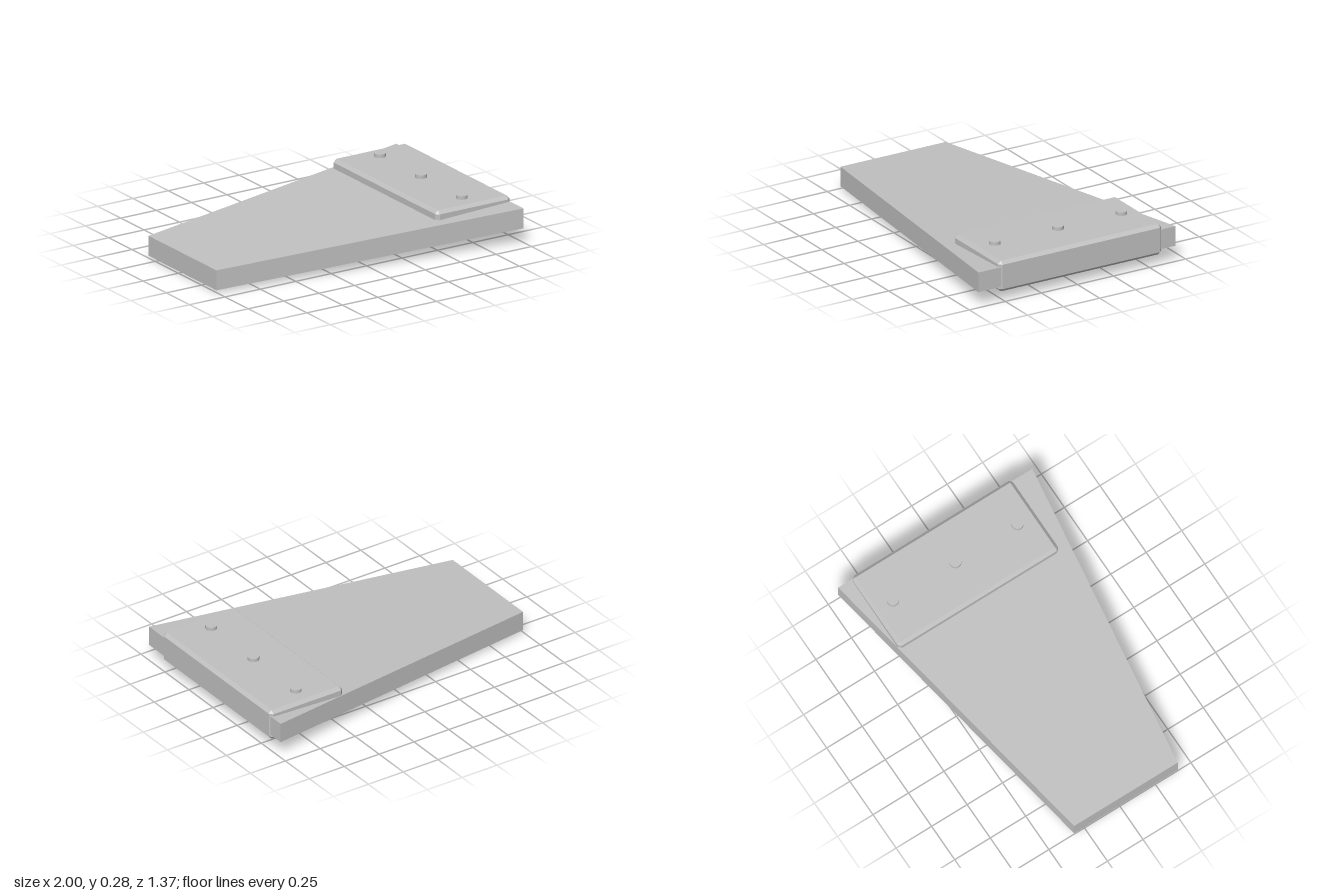
import * as THREE from 'three';
import { ConvexGeometry } from 'three/addons/geometries/ConvexGeometry.js';

// Box with every edge cut by a flat chamfer c, given by its min and max corners
function chamferedBox(min, max, c) {
  const centre = min.map((v, i) => (v + max[i]) / 2);
  const half = min.map((v, i) => (max[i] - v) / 2);
  const points = [];
  for (const sx of [-1, 1]) for (const sy of [-1, 1]) for (const sz of [-1, 1]) {
    const s = [sx, sy, sz];
    for (let full = 0; full < 3; full++) {
      points.push(new THREE.Vector3(...s.map((sign, i) =>
        centre[i] + sign * (half[i] - (i === full ? 0 : c)))));
    }
  }
  return new ConvexGeometry(points);
}

export function createModel() {
  const model = new THREE.Group();
  model.name = 'taperedBoard';
  const grey = new THREE.MeshStandardMaterial({ color: 0xc0c0c0 });
  grey.name = 'light grey';

  const add = (name, geometry) => {
    const mesh = new THREE.Mesh(geometry, grey);
    mesh.name = name;
    model.add(mesh);
    return mesh;
  };

  // Sloping board, wider and higher at the +x end
  const ends = [
    { x: -1, y: 0.014, back: -0.322, front: 0.408 },
    { x: 0.99, y: 0.095, back: -0.687, front: 0.68 },
  ];
  const thickness = 0.125;
  const corners = [];
  for (const e of ends) for (const z of [e.back, e.front]) for (const y of [e.y, e.y + thickness]) {
    corners.push(new THREE.Vector3(e.x, y, z));
  }
  add('board', new ConvexGeometry(corners));

  // Chamfered block through the wide end
  add('endBlock', chamferedBox([0.473, 0.06, -0.594], [0.997, 0.256, 0.536], 0.02));

  // Row of pegs on top of the block
  for (const z of [-0.47, -0.03, 0.408]) {
    add('peg', new THREE.CylinderGeometry(0.035, 0.035, 0.04, 32)).position.set(0.732, 0.258, z);
  }

  // Chamfered feet under the board
  add('narrowEndFoot', chamferedBox([-0.778, 0, -0.235], [-0.604, 0.08, 0.256], 0.018));
  add('middleFoot', chamferedBox([0.076, 0, -0.235], [0.254, 0.1, 0.256], 0.018));

  return model;
}
